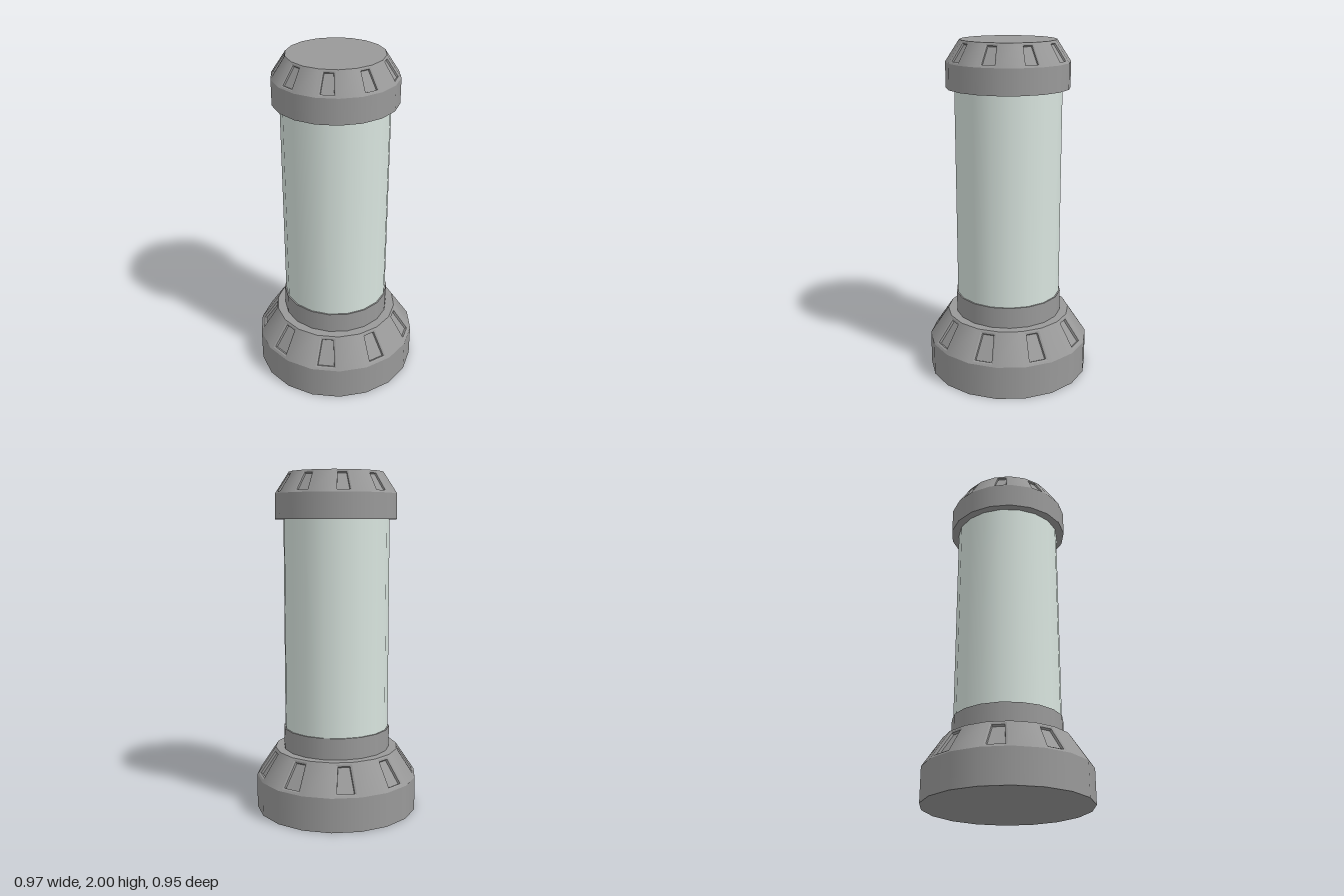
import * as THREE from 'three';

const SIDES = 18;
const metal = new THREE.MeshStandardMaterial({ color: 0x999999 });
const glass = new THREE.MeshStandardMaterial({ color: 0xd8e4de });

function mesh(name, geometry, material = metal) {
  const m = new THREE.Mesh(geometry, material);
  m.name = name;
  return m;
}

// Upright prism with smooth sides, between heights y0 and y1
function prism(name, r, y0, y1, { material = metal, open = false, start = 0 } = {}) {
  const g = new THREE.CylinderGeometry(r, r, y1 - y0, SIDES, 1, open, start);
  g.translate(0, (y0 + y1) / 2, 0);
  return mesh(name, g, material);
}

// Flat 18-sided lid facing up or down
function lid(name, r, y, up = true) {
  const g = new THREE.CircleGeometry(r, SIDES);
  g.rotateX(up ? -Math.PI / 2 : Math.PI / 2);
  g.translate(0, y, 0);
  return mesh(name, g);
}

// Sloping ring: nine faces with a recessed window, nine plain faces between
function windowedSlope(name, r0, y0, r1, y1, win) {
  const cos = Math.cos(Math.PI / SIDES), sin = Math.sin(Math.PI / SIDES);
  const a0 = r0 * cos, a1 = r1 * cos;
  const up = new THREE.Vector3(0, 1, 0);
  const pos = [], nor = [];

  const quad = (p, n) => [0, 1, 2, 0, 2, 3].forEach(i => {
    pos.push(...p[i].toArray());
    nor.push(...n[i].toArray());
  });
  const flatQuad = p => {
    const n = p[2].clone().sub(p[0]).cross(p[3].clone().sub(p[1])).normalize();
    quad(p, [n, n, n, n]);
  };

  const panels = Array.from({ length: 9 }, (_, k) => {
    const a = -Math.PI / 2 - k * Math.PI * 2 / 9;
    const out = new THREE.Vector3(Math.cos(a), 0, Math.sin(a));
    const side = up.clone().cross(out);
    const n = out.clone().multiplyScalar(y1 - y0).addScaledVector(up, a0 - a1).normalize();
    const point = (u, t, depth) => out.clone().multiplyScalar(a0 + (a1 - a0) * t)
      .addScaledVector(side, u).addScaledVector(up, y0 + (y1 - y0) * t).addScaledVector(n, -depth);
    // Four corners of a trapezoid on the face, sunk by depth
    const ring = (w0, w1, t0, t1, d) =>
      [point(-w0, t0, d), point(w0, t0, d), point(w1, t1, d), point(-w1, t1, d)];
    const { w0, w1, rim, depth } = win;
    const rings = [
      ring(r0 * sin, r1 * sin, 0, 1, 0),
      ring(w0, w1, 0.07, 0.94, 0),
      ring(w0 - rim, w1 - rim, 0.12, 0.89, depth * 0.25),
      ring(w0 - rim * 1.2, w1 - rim * 1.2, 0.13, 0.88, depth),
    ];
    return { n, rings };
  });

  panels.forEach(({ n, rings }, k) => {
    // Face border, rim and recess walls, then the recess floor
    for (let i = 0; i < 3; i++) {
      for (let c = 0; c < 4; c++) {
        const d = (c + 1) % 4;
        flatQuad([rings[i][c], rings[i][d], rings[i + 1][d], rings[i + 1][c]]);
      }
    }
    flatQuad(rings[3]);
    // Plain face, shaded smoothly from this window face to the next
    const next = panels[(k + 1) % 9];
    const a = rings[0], b = next.rings[0];
    quad([a[1], b[0], b[3], a[2]], [n, next.n, next.n, n]);
  });

  const g = new THREE.BufferGeometry();
  g.setAttribute('position', new THREE.Float32BufferAttribute(pos, 3));
  g.setAttribute('normal', new THREE.Float32BufferAttribute(nor, 3));
  return mesh(name, g);
}

// Straight band, windowed slope and lids
function housing(name, r0, r1, y0, y1, y2, win) {
  const g = new THREE.Group();
  g.name = name;
  g.add(
    lid(name + 'Underside', r0, y0, false),
    prism(name + 'Band', r0, y0, y1, { open: true, start: Math.PI / 2 }),
    windowedSlope(name + 'WindowSlope', r0, y1, r1, y2, win),
    lid(name + 'Top', r1, y2),
  );
  return g;
}

export function createModel() {
  const model = new THREE.Group();
  model.name = 'canister';
  model.add(
    housing('base', 0.483, 0.37, 0, 0.2, 0.37, { w0: 0.062, w1: 0.046, rim: 0.011, depth: 0.018 }),
    prism('collar', 0.319, 0.37, 0.495),
    prism('glassTube', 0.311, 0.495, 1.735, { material: glass }),
    housing('cap', 0.357, 0.276, 1.73, 1.876, 2, { w0: 0.045, w1: 0.034, rim: 0.008, depth: 0.013 }),
  );
  return model;
}
